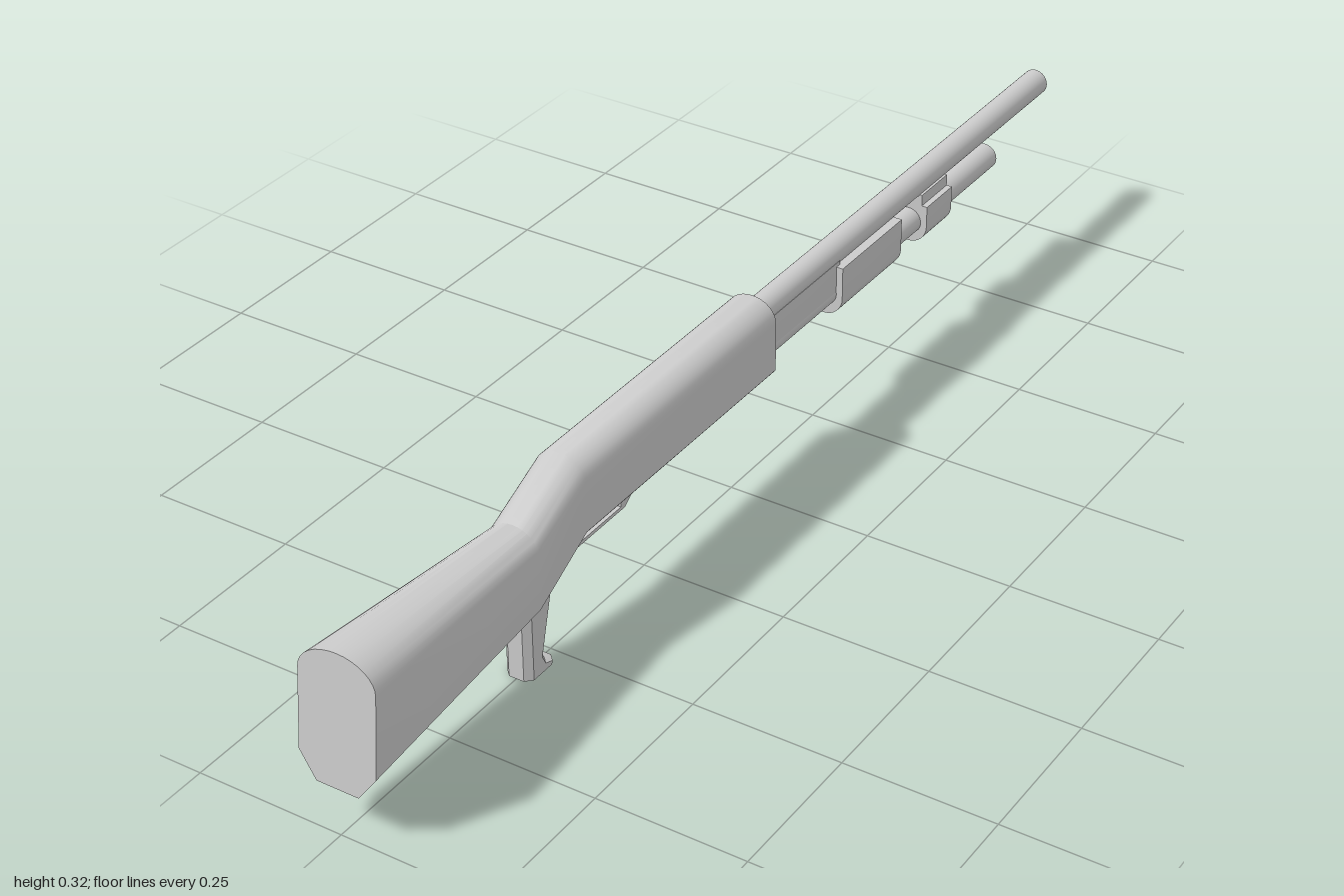
import * as THREE from 'three';
import { toCreasedNormals } from 'three/addons/utils/BufferGeometryUtils.js';

const material = new THREE.MeshStandardMaterial({ color: 0xcccccc });
const openMaterial = new THREE.MeshStandardMaterial({ color: 0xcccccc, side: THREE.DoubleSide });

// Skin equal-length rings, each counter-clockwise about the direction of travel, and cap both ends.
function loft(rings) {
  const p = [];
  const tri = (...pts) => pts.forEach((v) => p.push(v[0], v[1], v[2]));
  const n = rings[0].length;
  for (let s = 0; s < rings.length - 1; s++) {
    const a = rings[s], b = rings[s + 1];
    for (let i = 0; i < n; i++) {
      const j = (i + 1) % n;
      tri(a[i], a[j], b[i]);
      tri(a[j], b[j], b[i]);
    }
  }
  const first = rings[0], last = rings[rings.length - 1];
  for (let i = 1; i < n - 1; i++) {
    tri(first[0], first[i + 1], first[i]);
    tri(last[0], last[i], last[i + 1]);
  }
  const g = new THREE.BufferGeometry();
  g.setAttribute('position', new THREE.Float32BufferAttribute(p, 3));
  return toCreasedNormals(g, 0.5);
}

// Arched top, flat sides and a chamfered flat bottom; tilt leans the section in z.
function bodyRing({ z, w, top, shoulder, chamfer, flat, bottom, tilt = 0 }) {
  const pts = [];
  for (let i = 0; i <= 16; i++) {
    const a = (i / 16) * Math.PI;
    pts.push([w * Math.cos(a), shoulder + (top - shoulder) * Math.sin(a)]);
  }
  pts.push([-w, chamfer], [-flat, bottom], [flat, bottom], [w, chamfer]);
  return pts.map(([x, y]) => [x, y, z - tilt * (y - bottom)]);
}

// Flat-topped profile with a round underside.
function uShape(w, top, centre, bottom) {
  const s = new THREE.Shape();
  s.moveTo(w, top);
  s.lineTo(-w, top);
  s.lineTo(-w, centre);
  s.absellipse(0, centre, w, centre - bottom, Math.PI, Math.PI * 2, false);
  s.closePath();
  return s;
}

// Extrude an x-y shape between two z positions.
function alongZ(shape, z0, z1) {
  const g = new THREE.ExtrudeGeometry(shape, { depth: z1 - z0, bevelEnabled: false, curveSegments: 16 });
  return toCreasedNormals(g.translate(0, 0, z0), 0.5);
}

// Extrude a side outline given as [z, y] pairs to a half-width in x.
function sidePlate(points, half) {
  const s = new THREE.Shape(points.map(([z, y]) => new THREE.Vector2(-z, y)));
  const g = new THREE.ExtrudeGeometry(s, { depth: half * 2, bevelEnabled: false });
  return g.translate(0, 0, -half).rotateY(Math.PI / 2);
}

function tube(radius, y, z0, z1, open) {
  return new THREE.CylinderGeometry(radius, radius, z1 - z0, 32, 1, open)
    .rotateX(Math.PI / 2).translate(0, y, (z0 + z1) / 2);
}

// Horizontal eight-sided ring with clipped corners, for the grip.
function gripRing(y, back, front, w) {
  const c = w * 0.45;
  return [
    [w, y, front + c], [w - c, y, front], [c - w, y, front], [-w, y, front + c],
    [-w, y, back - c], [c - w, y, back], [w - c, y, back], [w, y, back - c],
  ];
}

export function createModel() {
  const model = new THREE.Group();
  const add = (name, geometry, mat = material) => {
    const mesh = new THREE.Mesh(geometry, mat);
    mesh.name = name;
    model.add(mesh);
  };

  // Receiver, wrist and stock in one continuous skin
  const receiver = { w: 0.044, top: 0.325, shoulder: 0.288, chamfer: 0.203, flat: 0.042, bottom: 0.2 };
  add('receiverAndStock', loft([
    bodyRing({ ...receiver, z: -0.06 }),
    bodyRing({ ...receiver, z: 0.46 }),
    bodyRing({ z: 0.58, w: 0.044, top: 0.269, shoulder: 0.232, chamfer: 0.138, flat: 0.03, bottom: 0.123 }),
    bodyRing({ z: 1.0, w: 0.066, top: 0.298, shoulder: 0.255, chamfer: 0.121, flat: 0.036, bottom: 0.08, tilt: 0.09 }),
  ]));

  // Barrel and magazine
  add('barrel', tube(0.023, 0.287, -1, -0.05, true), openMaterial);
  add('magazineTube', tube(0.023, 0.222, -0.82, -0.05, false));
  add('magazineHousing', alongZ(uShape(0.0225, 0.28, 0.222, 0.199), -0.29, -0.055));

  // Sliding fore-end and front clamp
  add('foreEnd', alongZ(uShape(0.034, 0.273, 0.217, 0.182), -0.47, -0.28));
  add('clampBand', alongZ(uShape(0.034, 0.255, 0.217, 0.183), -0.64, -0.555));
  add('clampNeck', alongZ(uShape(0.024, 0.275, 0.25, 0.24), -0.64, -0.555));

  // Trigger guard with a solid wedge at its front
  add('triggerGuard', sidePlate([
    [0.47, 0.21], [0.47, 0.158], [0.325, 0.158], [0.26, 0.203],
    [0.335, 0.203], [0.335, 0.164], [0.46, 0.164], [0.46, 0.21],
  ], 0.018));
  add('trigger', sidePlate([
    [0.432, 0.205], [0.43, 0.186], [0.418, 0.168], [0.412, 0.17], [0.42, 0.187], [0.418, 0.205],
  ], 0.006));

  // Grip with a flared foot
  add('grip', loft([
    gripRing(0, 0.587, 0.52, 0.024),
    gripRing(0.006, 0.587, 0.518, 0.024),
    gripRing(0.012, 0.587, 0.535, 0.024),
    gripRing(0.028, 0.587, 0.543, 0.024),
    gripRing(0.165, 0.587, 0.508, 0.024),
  ]));
  // Block joining the grip, the guard and the wrist
  add('gripMount', sidePlate([
    [0.587, 0.14], [0.508, 0.155], [0.462, 0.158], [0.462, 0.21], [0.52, 0.21], [0.587, 0.16],
  ], 0.018));
  return model;
}
